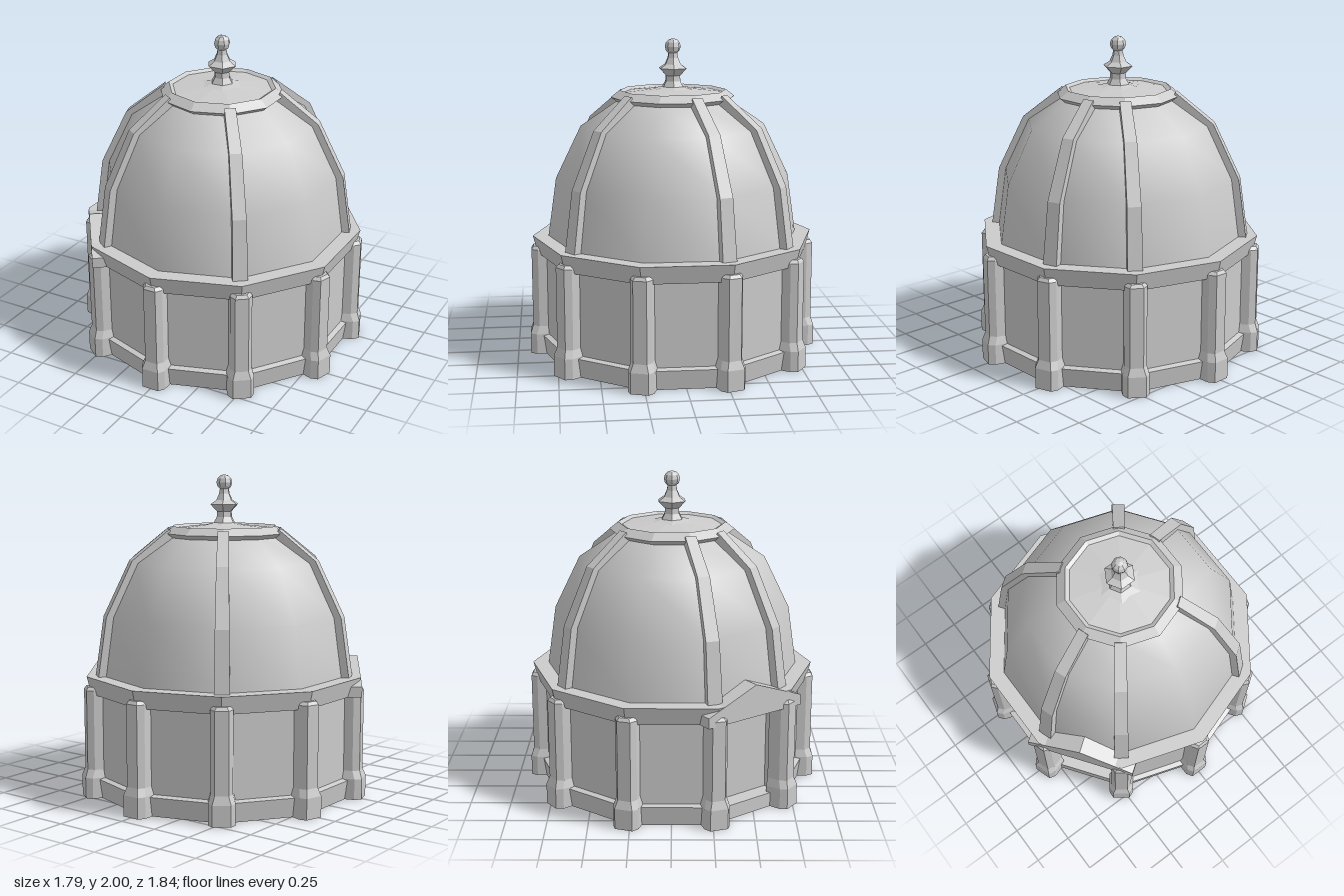
import * as THREE from 'three';

const SIDES = 10;
const STEP = (Math.PI * 2) / SIDES;
const DOOR = -1.5 * STEP; // heading of the wall face that holds the doorway

const flat = new THREE.MeshStandardMaterial({ color: 0xcccccc, flatShading: true, side: THREE.DoubleSide });
const smooth = new THREE.MeshStandardMaterial({ color: 0xcccccc, side: THREE.DoubleSide });

function add(parent, name, geometry, material = flat) {
  const mesh = new THREE.Mesh(geometry, material);
  mesh.name = name;
  parent.add(mesh);
  return mesh;
}

function lathe(profile, sides = SIDES, start = 0, length = Math.PI * 2) {
  return new THREE.LatheGeometry(profile.map(([r, y]) => new THREE.Vector2(r, y)), sides, start, length);
}

// Solid through a stack of closed loops, with both ends capped
function loft(loops) {
  const n = loops[0].length;
  const index = [];
  for (let j = 0; j < loops.length - 1; j++) {
    for (let i = 0; i < n; i++) {
      const a = j * n + i, b = j * n + ((i + 1) % n);
      index.push(a, b, b + n, a, b + n, a + n);
    }
  }
  const top = (loops.length - 1) * n;
  for (let i = 1; i < n - 1; i++) {
    index.push(0, i + 1, i, top, top + i, top + i + 1);
  }
  const g = new THREE.BufferGeometry();
  g.setAttribute('position', new THREE.Float32BufferAttribute(loops.flat(2), 3));
  g.setIndex(index);
  const out = g.toNonIndexed();
  out.computeVertexNormals();
  return out;
}

function box(w, h, d, x, y, z) {
  return new THREE.BoxGeometry(w, h, d).translate(x, y, z);
}

// Bevelled buttress with a wider foot, facing +z
function buttressGeometry() {
  const levels = [
    [0, 0.08, 0.92], [0.13, 0.08, 0.92], [0.18, 0.066, 0.903],
    [0.68, 0.066, 0.903], [0.7, 0.055, 0.89],
  ];
  return loft(levels.map(([y, w, r]) => [
    [-w, y, 0.78], [-w, y, r - 0.04], [-w + 0.025, y, r],
    [w - 0.025, y, r], [w, y, r - 0.04], [w, y, 0.78],
  ]));
}

// Curved rib that follows the dome: half width, inner r/y, outer r/y
function ribGeometry() {
  const stations = [
    [0.046, 0.74, 0.75, 0.828, 0.75], [0.042, 0.69, 1.11, 0.772, 1.13],
    [0.038, 0.54, 1.41, 0.605, 1.475], [0.034, 0.32, 1.57, 0.365, 1.665],
  ];
  return loft(stations.map(([w, ri, yi, ro, yo]) => [
    [-w, yi, ri], [-w, yo, ro], [w, yo, ro], [w, yi, ri],
  ]));
}

function createPorch() {
  const porch = new THREE.Group();
  porch.name = 'porch';
  const gable = new THREE.Shape([
    [-0.35, 0.65], [0.35, 0.65], [0.35, 0.715], [0, 0.85], [-0.35, 0.715],
  ].map(([x, y]) => new THREE.Vector2(x, y)));
  add(porch, 'gableRoof', new THREE.ExtrudeGeometry(gable, { depth: 0.166, bevelEnabled: false }).translate(0, 0, 0.685));
  add(porch, 'doorPanel', box(0.5, 0.66, 0.03, 0, 0.33, 0.675));
  for (const s of [-1, 1]) {
    add(porch, 'doorJamb', box(0.05, 0.66, 0.13, s * 0.24, 0.33, 0.735));
  }
  porch.rotation.y = DOOR;
  return porch;
}

export function createModel() {
  const model = new THREE.Group();
  model.name = 'domedRotunda';

  // Drum: floor slab, wall with plinth (open at the doorway), cornice
  add(model, 'floor', new THREE.CylinderGeometry(0.835, 0.835, 0.09, SIDES).translate(0, 0.045, 0));
  add(model, 'drumWall', lathe(
    [[0.82, 0], [0.845, 0], [0.862, 0.12], [0.828, 0.13], [0.828, 0.66]],
    SIDES - 1, DOOR + STEP / 2, Math.PI * 2 - STEP));
  add(model, 'cornice', lathe([[0.8, 0.65], [0.865, 0.65], [0.893, 0.76], [0.76, 0.76]]));

  const buttress = buttressGeometry();
  for (let i = 0; i < SIDES; i++) {
    add(model, 'buttress', buttress).rotation.y = i * STEP;
  }
  model.add(createPorch());

  // Dome shell with ribs on six of its ten corners
  add(model, 'dome', lathe([[0.795, 0.75], [0.74, 1.13], [0.58, 1.46], [0.35, 1.615]]), smooth);
  const rib = ribGeometry();
  for (const corner of [1, 3, 4, 6, 8, 9]) {
    add(model, 'domeRib', rib).rotation.y = corner * STEP;
  }

  // Crown ring with its shallow cap
  add(model, 'crownRing', lathe([[0.345, 1.602], [0.39, 1.637], [0.335, 1.68], [0.31, 1.665]]));
  add(model, 'crownCap', lathe([[0.31, 1.665], [0, 1.7]]));

  // Finial
  add(model, 'finialStem', lathe([
    [0.14, 1.683], [0.072, 1.7], [0.052, 1.735], [0.05, 1.77], [0.095, 1.815],
    [0.055, 1.84], [0.036, 1.88], [0.028, 1.925],
  ], 6, Math.PI / 6));
  add(model, 'finialBall', new THREE.SphereGeometry(0.05, 8, 6).translate(0, 1.95, 0));

  return model;
}
